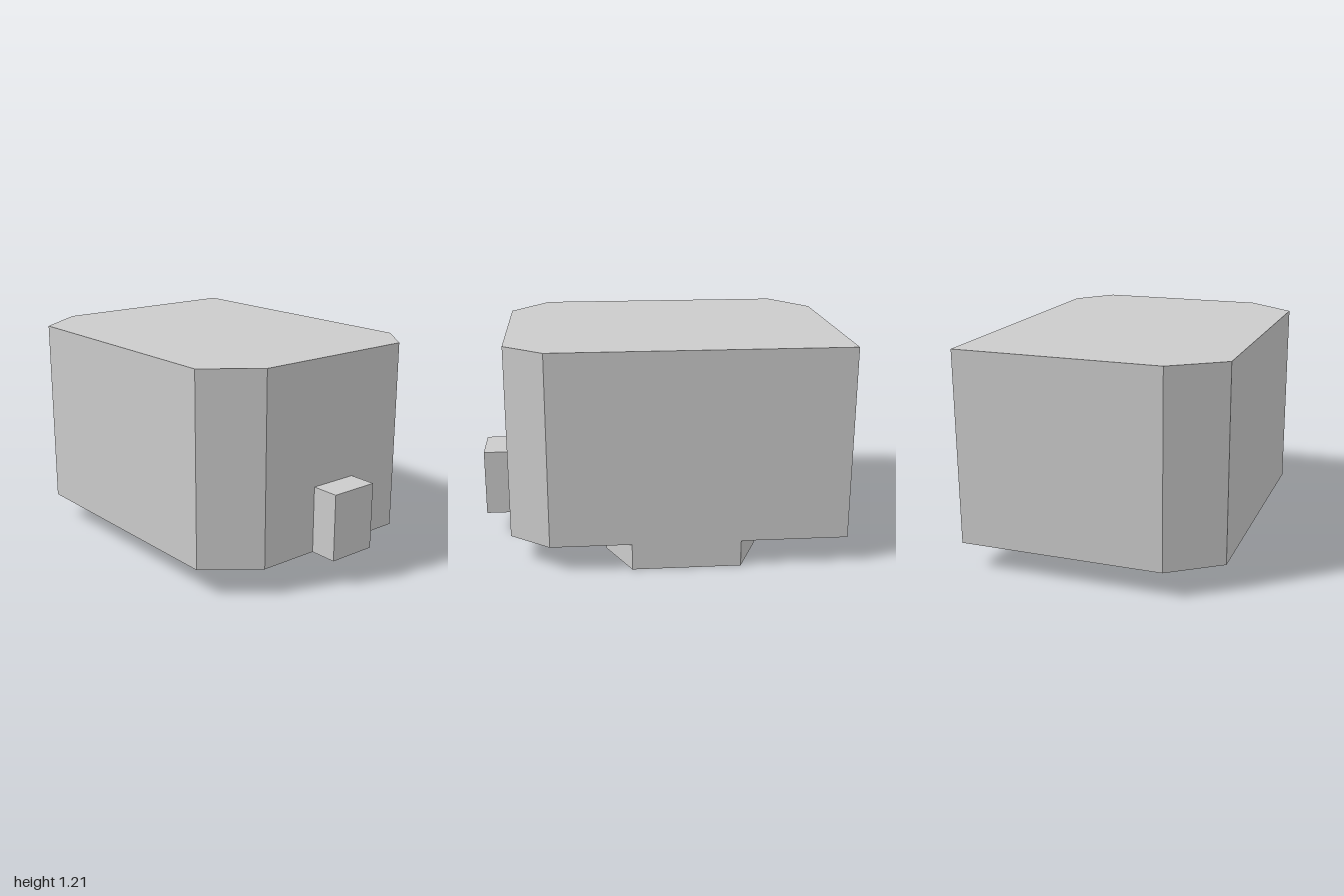
import * as THREE from 'three';

const material = new THREE.MeshStandardMaterial({ color: 0xcccccc, flatShading: true });
const thinMaterial = new THREE.MeshStandardMaterial({ color: 0xcccccc, flatShading: true, side: THREE.DoubleSide });

// Upright prism over a footprint of [x, z] points
function prism(name, footprint, bottom, top) {
  const shape = new THREE.Shape(footprint.map(([x, z]) => new THREE.Vector2(x, -z)));
  const geometry = new THREE.ExtrudeGeometry(shape, { depth: top - bottom, bevelEnabled: false });
  geometry.rotateX(-Math.PI / 2).translate(0, bottom, 0);
  const mesh = new THREE.Mesh(geometry, material);
  mesh.name = name;
  return mesh;
}

// Thin upright wall between two [x, z] points
function wall(name, [x0, z0], [x1, z1], bottom, top) {
  const geometry = new THREE.PlaneGeometry(Math.hypot(x1 - x0, z1 - z0), top - bottom);
  const mesh = new THREE.Mesh(geometry, thinMaterial);
  mesh.rotation.y = -Math.atan2(z1 - z0, x1 - x0);
  mesh.position.set((x0 + x1) / 2, (bottom + top) / 2, (z0 + z1) / 2);
  mesh.name = name;
  return mesh;
}

export function createModel() {
  const model = new THREE.Group();
  model.name = 'chamferedBlock';
  const floor = 0.147;

  // Main body with three cut corners
  model.add(prism('body', [
    [-0.43, -1], [0.705, -1], [0.705, 0.628], [0.535, 0.843],
    [-0.43, 0.843], [-0.71, 0.628], [-0.71, -0.8],
  ], floor, 1.215));

  // Small block on the front
  model.add(prism('frontBlock', [
    [-0.085, 0.843], [0.198, 0.843], [0.198, 1], [-0.085, 1],
  ], floor, 0.52));

  // Base under the body, stepped in where the groove runs
  model.add(prism('base', [
    [0.705, -0.41], [0.705, 0.185], [0.42, 0.315], [0.42, 0.247],
    [-0.17, 0.247], [-0.17, -0.46], [0.42, -0.46], [0.42, -0.535],
  ], 0, floor));

  // Thin rim enclosing the groove on three sides
  const rim = new THREE.Group();
  rim.name = 'baseRim';
  const path = [[0.42, 0.315], [-0.235, 0.325], [-0.247, -0.537], [0.42, -0.535]];
  for (let i = 0; i < 3; i++) rim.add(wall('rimWall', path[i], path[i + 1], 0, floor));
  model.add(rim);

  return model;
}
